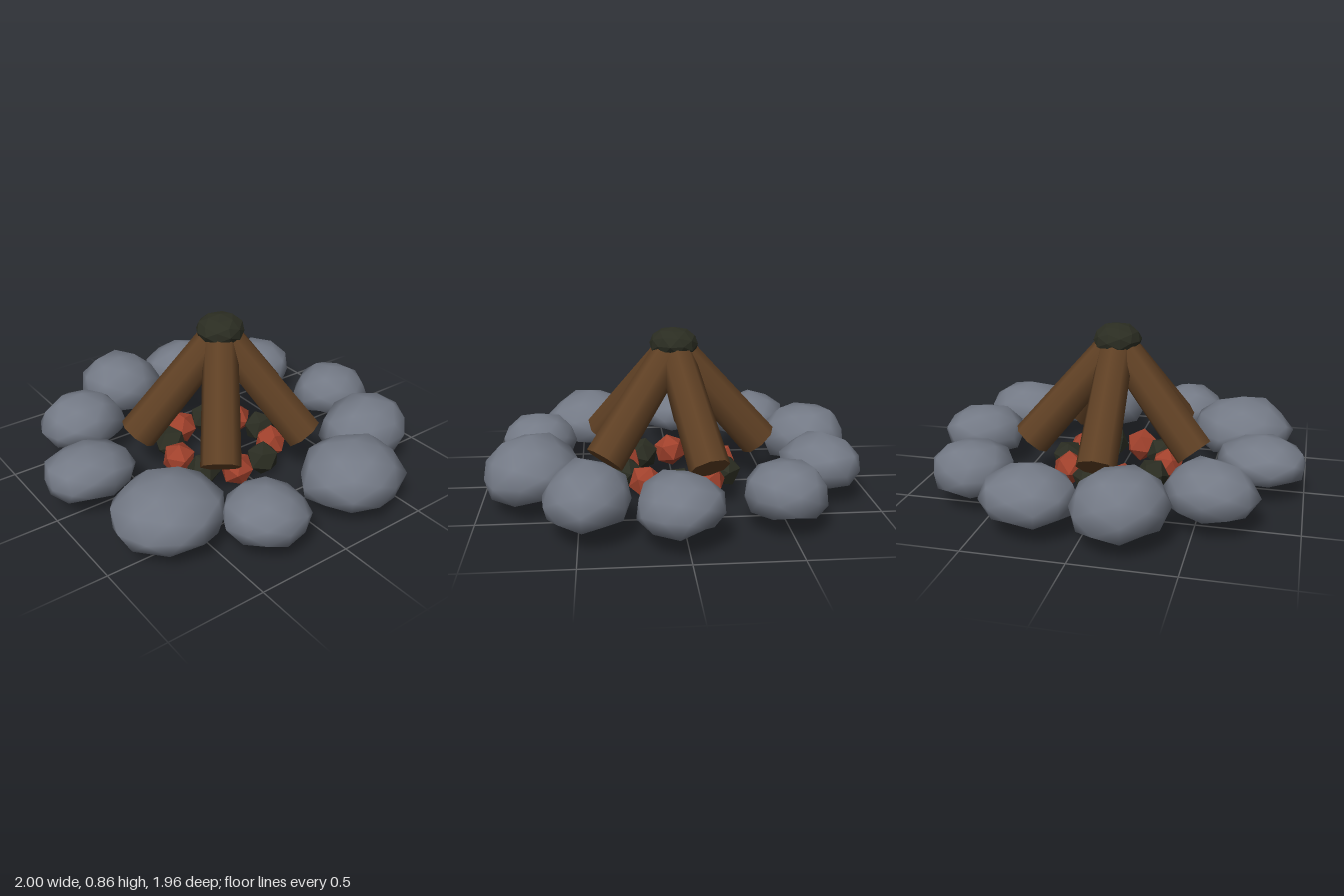
import * as THREE from 'three';
import { mergeVertices } from 'three/addons/utils/BufferGeometryUtils.js';

function makeRandom(seed) {
  return () => {
    seed = (seed * 16807) % 2147483647;
    return seed / 2147483647;
  };
}

// Smooth, slightly uneven pebble with a flattened underside, fitted to a box
function pebble(random, min, max, jitter, floor) {
  const ico = new THREE.IcosahedronGeometry(1, 1);
  ico.deleteAttribute('uv');
  ico.deleteAttribute('normal');
  const geo = mergeVertices(ico, 1e-3);
  const pos = geo.attributes.position;
  geo.rotateY(random() * Math.PI * 2);
  for (let i = 0; i < pos.count; i++) {
    const s = 1 + (random() - 0.5) * jitter;
    pos.setXYZ(i, pos.getX(i) * s, Math.max(pos.getY(i) * s, floor), pos.getZ(i) * s);
  }
  geo.computeBoundingBox();
  const box = geo.boundingBox;
  const fit = (v, k) => min[k] + ((v - box.min.getComponent(k)) * (max[k] - min[k]))
    / (box.max.getComponent(k) - box.min.getComponent(k));
  for (let i = 0; i < pos.count; i++) {
    pos.setXYZ(i, fit(pos.getX(i), 0), fit(pos.getY(i), 1), fit(pos.getZ(i), 2));
  }
  geo.computeVertexNormals();
  geo.computeBoundingBox();
  geo.computeBoundingSphere();
  return geo;
}

export function createModel() {
  const model = new THREE.Group();
  model.name = 'campfire';
  const material = (name, color, flatShading = false) => {
    const m = new THREE.MeshStandardMaterial({ color, flatShading });
    m.name = name;
    return m;
  };
  const stone = material('stone grey', 0x747a86);
  const wood = material('log brown', 0x5f4024);
  const ember = material('ember red', 0xa0412c, true);
  const char = material('charcoal', 0x2b2d22, true);
  const add = (name, geo, mat) => {
    const mesh = new THREE.Mesh(geo, mat);
    mesh.name = name;
    model.add(mesh);
    return mesh;
  };
  const random = makeRandom(4711);

  // Ring of stones: x min, x max, z min, z max, bottom, top
  const stones = [
    [-0.42, 0.05, -0.98, -0.52, 0.1, 0.37],
    [0.03, 0.475, -0.945, -0.53, 0.11, 0.355],
    [0.425, 0.84, -0.675, -0.28, 0.11, 0.335],
    [0.555, 1.0, -0.17, 0.235, 0.115, 0.345],
    [0.39, 0.895, 0.25, 0.665, 0.11, 0.37],
    [-0.015, 0.535, 0.49, 0.975, 0.095, 0.38],
    [-0.5, -0.05, 0.525, 0.935, 0.11, 0.335],
    [-0.92, -0.36, 0.19, 0.705, 0.1, 0.37],
    [-1.0, -0.545, -0.27, 0.13, 0.115, 0.33],
    [-0.81, -0.335, -0.705, -0.295, 0.11, 0.36],
  ];
  stones.forEach(([x0, x1, z0, z1, y0, y1], i) => {
    add(`ringStone${i + 1}`, pebble(random, [x0, y0, z0], [x1, y1, z1], 0.14, -0.5), stone);
  });

  // Five logs leaning together at the top
  const up = new THREE.Vector3(0, 1, 0);
  for (let i = 0; i < 5; i++) {
    const a = -Math.PI / 2 + (i * Math.PI * 2) / 5;
    const bottom = new THREE.Vector3(Math.cos(a) * 0.46, 0.24, Math.sin(a) * 0.46);
    const top = new THREE.Vector3(Math.cos(a) * 0.01, 0.75, Math.sin(a) * 0.01);
    const axis = top.clone().sub(bottom);
    const log = add(`log${i + 1}`, new THREE.CylinderGeometry(0.092, 0.104, axis.length(), 8), wood);
    log.position.copy(bottom).add(top).multiplyScalar(0.5);
    log.quaternion.setFromUnitVectors(up, axis.normalize());
  }

  // Charred knot where the logs meet
  add('charredTip', pebble(random, [-0.125, 0.72, -0.125], [0.125, 0.865, 0.125], 0.06, -0.7), char);

  // Alternating coals and embers around the hearth
  for (let i = 0; i < 10; i++) {
    const a = (i * Math.PI) / 5;
    const hot = i % 2 === 1;
    const coal = add(hot ? `ember${i}` : `coal${i}`, new THREE.IcosahedronGeometry(0.092, 0), hot ? ember : char);
    coal.position.set(Math.cos(a) * 0.275, 0.1, Math.sin(a) * 0.275);
    coal.rotation.set(random() * 3, random() * 3, random() * 3);
  }

  return model;
}
